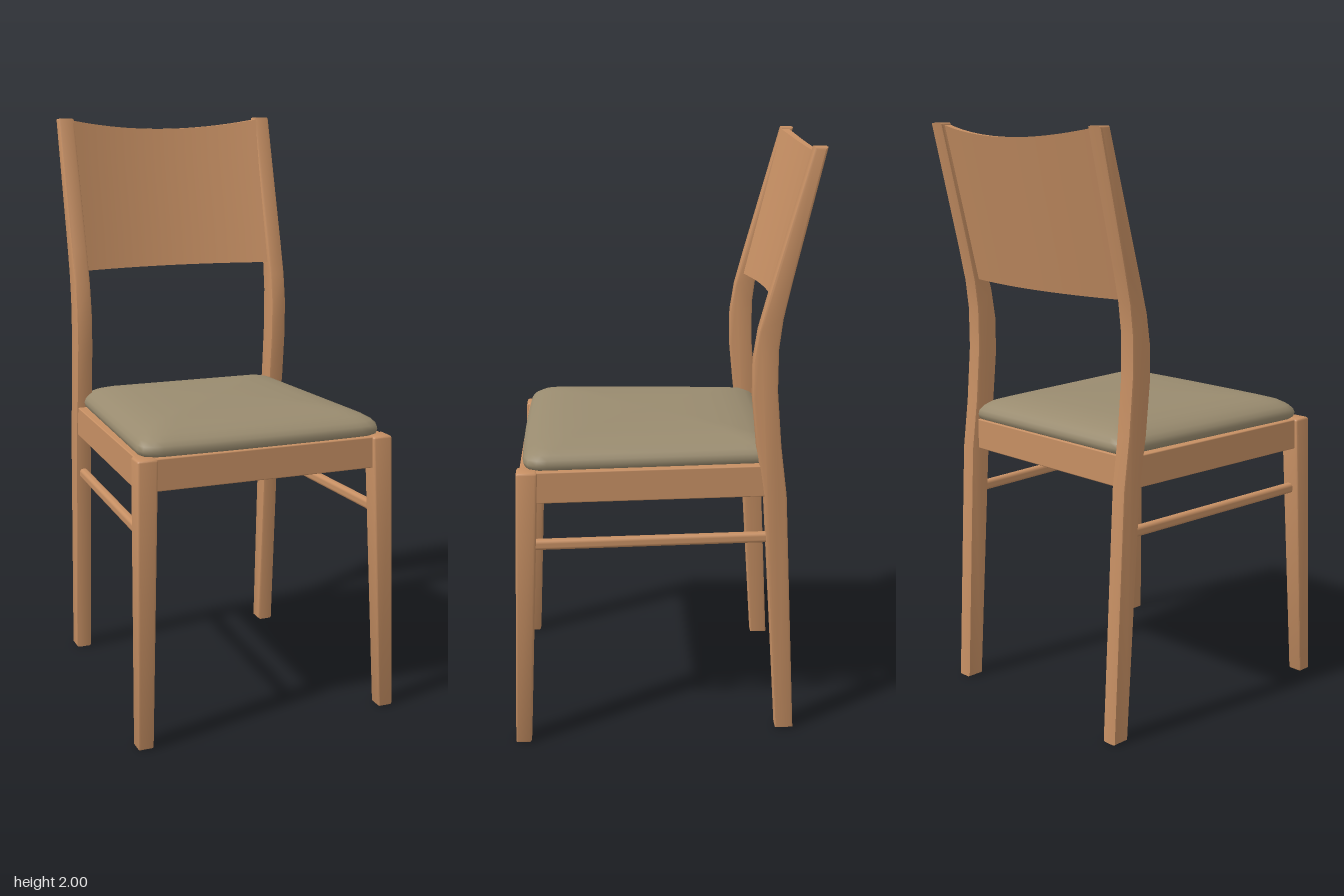
import * as THREE from 'three';
import { RoundedBoxGeometry } from 'three/addons/geometries/RoundedBoxGeometry.js';
import { toCreasedNormals } from 'three/addons/utils/BufferGeometryUtils.js';

const wood = new THREE.MeshStandardMaterial({ color: 0xc68f63 });
wood.name = 'wood';
const fabric = new THREE.MeshStandardMaterial({ color: 0x998b6f });
fabric.name = 'seatFabric';

// Moves every vertex by a rule, then rebuilds the normals
function reshape(geometry, rule) {
  const p = geometry.attributes.position;
  const v = new THREE.Vector3();
  for (let i = 0; i < p.count; i++) {
    rule(v.fromBufferAttribute(p, i));
    p.setXYZ(i, v.x, v.y, v.z);
  }
  return toCreasedNormals(geometry, 0.6);
}

export function createModel() {
  const chair = new THREE.Group();
  chair.name = 'diningChair';

  function add(name, geometry, material) {
    const mesh = new THREE.Mesh(geometry, material);
    mesh.name = name;
    chair.add(mesh);
    return mesh;
  }

  // Straight softened bar between two points
  function bar(name, from, to, width, height, radius) {
    const a = new THREE.Vector3(...from), b = new THREE.Vector3(...to);
    const mesh = add(name, new RoundedBoxGeometry(width, height, a.distanceTo(b), 2, radius), wood);
    mesh.position.copy(a).add(b).multiplyScalar(0.5);
    mesh.lookAt(b);
  }

  // Rear post outline as (z, y): front edge upwards, back edge downwards
  const b = 0.008;
  const frontEdge = [[-0.383, b], [-0.327, 0.86], [-0.30, 1.03], [-0.283, 1.2],
    [-0.283, 1.32], [-0.298, 1.42], [-0.33, 1.54], [-0.457, 2 - b]];
  const backEdge = [[-0.5, 2 - b], [-0.402, 1.58], [-0.376, 1.46], [-0.364, 1.36],
    [-0.364, 1.22], [-0.38, 1.03], [-0.402, 0.86], [-0.445, b]];
  const outline = new THREE.Shape();
  frontEdge.forEach(([z, y], i) => (i ? outline.lineTo(z - b, y) : outline.moveTo(z - b, y)));
  backEdge.forEach(([z, y]) => outline.lineTo(z + b, y));

  for (const s of [1, -1]) {
    const side = s > 0 ? 'left' : 'right';

    // Rear leg and back post in one bent piece
    const post = new THREE.ExtrudeGeometry(outline, {
      depth: 0.057 - 2 * b, bevelThickness: b, bevelSize: b, bevelSegments: 2,
    });
    post.rotateY(-Math.PI / 2);
    // the extrusion now runs towards -x and the outline lies along +z
    post.translate(s * 0.3835 + 0.0285 - b, 0, 0);
    add(side + 'RearPost', toCreasedNormals(post, 0.6), wood);

    // Tapered, splayed front leg
    const leg = new RoundedBoxGeometry(0.07, 0.967, 0.07, 2, 0.008);
    add(side + 'FrontLeg', reshape(leg, (v) => {
      const t = v.y / 0.967 + 0.5;
      const k = 0.76 + 0.24 * t;
      v.set(s * (0.442 - 0.026 * t) + v.x * k, v.y + 0.4835, 0.489 - 0.034 * t + v.z * k);
    }), wood);

    // Side rail and thin stretcher
    bar(side + 'SideRail', [s * 0.387, 0.9125, -0.36], [s * 0.424, 0.9125, 0.45], 0.036, 0.107, 0.004);
    bar(side + 'Stretcher', [s * 0.383, 0.708, -0.36], [s * 0.418, 0.708, 0.455], 0.03, 0.036, 0.012);
  }

  // Front and rear seat rails
  bar('frontRail', [-0.41, 0.9125, 0.462], [0.41, 0.9125, 0.462], 0.036, 0.107, 0.004);
  bar('rearRail', [-0.37, 0.9125, -0.357], [0.37, 0.9125, -0.357], 0.036, 0.107, 0.004);

  // Curved, leaning back panel with a dipped top edge
  const panel = new THREE.BoxGeometry(0.72, 1, 1, 24, 4, 1);
  add('backPanel', reshape(panel, (v) => {
    const bow = 1 - (v.x / 0.36) ** 2;
    const top = 1.993 - 0.033 * bow;
    const depth = 0.028 - 0.006 * bow;
    const y = 1.465 + (top - 1.465) * (v.y + 0.5);
    v.z = -0.328 - 0.05 * bow - 0.245 * (y - 1.465) + (v.z - 0.5) * depth;
    v.y = y;
  }), wood);

  // Domed seat cushion: rings of a rounded trapezoid, from underside to crown
  const seat = new THREE.Shape();
  seat.moveTo(-0.35, -0.375);
  seat.quadraticCurveTo(-0.38, -0.37, -0.383, -0.33);
  seat.lineTo(-0.428, 0.40);
  seat.bezierCurveTo(-0.434, 0.45, -0.41, 0.467, -0.36, 0.47);
  seat.quadraticCurveTo(0, 0.482, 0.36, 0.47);
  seat.bezierCurveTo(0.41, 0.467, 0.434, 0.45, 0.428, 0.40);
  seat.lineTo(0.383, -0.33);
  seat.quadraticCurveTo(0.38, -0.37, 0.35, -0.375);
  seat.closePath();
  const rim = seat.getSpacedPoints(96).slice(0, 96);
  const rings = [[0, 0.962], [0.965, 0.962], [0.99, 0.97], [1, 0.985], [0.99, 1.0], [0.96, 1.014],
    [0.9, 1.029], [0.8, 1.042], [0.65, 1.051], [0.4, 1.056], [0, 1.058]];
  const n = rim.length, points = [], index = [];
  rings.forEach(([k, y], r) => {
    rim.forEach((p, i) => {
      points.push(p.x * k, y, 0.05 + (p.y - 0.05) * k);
      if (r === 0) return;
      const j = (i + 1) % n, lo = (r - 1) * n, hi = r * n;
      if (r > 1) index.push(lo + i, lo + j, hi + i);
      if (r < rings.length - 1) index.push(lo + j, hi + j, hi + i);
      else return;
      if (r === 1) return;
    });
  });
  const cushion = new THREE.BufferGeometry();
  cushion.setAttribute('position', new THREE.Float32BufferAttribute(points, 3));
  cushion.setIndex(index);
  cushion.computeVertexNormals();
  add('seatCushion', cushion, fabric);

  return chair;
}
